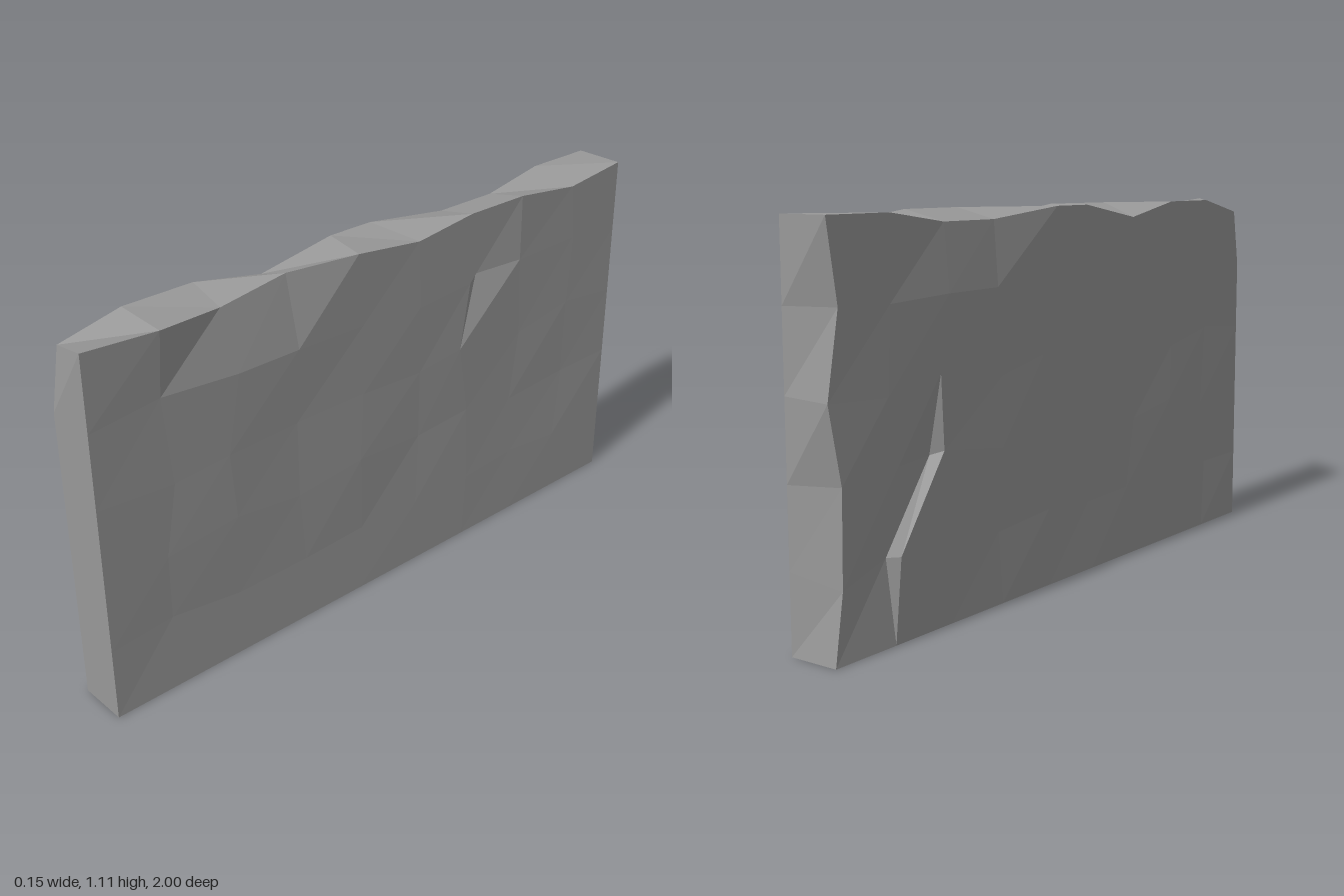
import * as THREE from 'three';

const COLS = 9, ROWS = 5, HALF = 0.077, HEIGHT = 1.11;

// Per-side irregularities; columns run from +z (0) to -z (9), rows go up.
// Keys are "column,row", values are [x, y, z] with x measured outward.
const sides = [
  {
    sign: 1, seed: 7, diagonalUp: true,
    moved: {
      '1,5': [HALF, 1.095, 0.77], '2,5': [0.043, 1.08, 0.56], '3,5': [0.04, 1.11, 0.34],
      '5,5': [HALF, 1.083, -0.12], '7,5': [HALF, 1.11, -0.55], '8,5': [HALF, 1.083, -0.78],
      '6,4': [HALF, 0.89, -0.335], '6,3': [HALF, 0.68, -0.3],
    },
    crack: { start: 3, path: [6, 6, 7], inner: { 4: [0.045, 0.895, -0.39] } },
  },
  {
    sign: -1, seed: 23, diagonalUp: false,
    moved: {
      '0,5': [HALF, 1.067, 0.97], '3,5': [HALF, 1.067, 0.33], '4,5': [HALF, 1.11, 0.08],
      '5,5': [HALF, 1.11, -0.07], '6,5': [0.058, 1.08, -0.34], '7,5': [0.058, 1.08, -0.55],
      '9,4': [HALF, 0.89, -0.965], '9,3': [0.07, 0.66, -1], '9,2': [HALF, 0.45, -0.965],
      '9,1': [HALF, 0.19, -0.97],
      '8,0': [HALF, 0, -0.78], '8,1': [HALF, 0.23, -0.755],
      '7,2': [HALF, 0.48, -0.58], '7,3': [HALF, 0.69, -0.59],
    },
    crack: { start: 0, path: [8, 8, 7, 7], inner: { 1: [0.05, 0.23, -0.785], 2: [0.05, 0.47, -0.61] } },
  },
];

function seeded(seed) {
  let s = seed * 7919;
  return () => {
    s = (s * 16807) % 2147483647;
    return s / 2147483647 - 0.5;
  };
}

// Grid of slightly uneven points for one broad face
function makeGrid({ sign, seed, moved }) {
  const rand = seeded(seed), grid = [];
  for (let i = 0; i <= COLS; i++) {
    grid.push([]);
    for (let j = 0; j <= ROWS; j++) {
      const inside = i > 0 && i < COLS && j > 0 && j < ROWS ? 1 : 0;
      const r = [rand(), rand(), rand()];
      const p = moved[`${i},${j}`] || [
        HALF - inside * (r[0] + 0.5) * 0.006,
        (HEIGHT * j) / ROWS + inside * r[1] * 0.05,
        1 - (2 * i) / COLS + inside * r[2] * 0.05,
      ];
      grid[i].push([p[0] * sign, p[1], p[2]]);
    }
  }
  return grid;
}

function makeMesh(name, triangles, material) {
  const geometry = new THREE.BufferGeometry();
  geometry.setAttribute('position', new THREE.Float32BufferAttribute(triangles.flat(2), 3));
  geometry.computeVertexNormals();
  const mesh = new THREE.Mesh(geometry, material);
  mesh.name = name;
  return mesh;
}

const quad = (a, b, c, d) => [[a, b, c], [a, c, d]];

// Broad face, split along its crack, with the step inside the crack
function buildFace(side, grid) {
  const { sign, crack, diagonalUp } = side;
  const last = crack.start + crack.path.length - 1;
  const pathAt = (j) => {
    const t = Math.min(Math.max(j, crack.start), last) - crack.start;
    const k = Math.min(Math.floor(t), crack.path.length - 2);
    return THREE.MathUtils.lerp(crack.path[k], crack.path[k + 1], t - k);
  };
  const innerPoint = (j) => {
    const p = crack.inner[j];
    return p ? [p[0] * sign, p[1], p[2]] : grid[crack.path[j - crack.start]][j];
  };
  const face = [], step = [];
  const orient = (t) => (sign > 0 ? t : [t[0], t[2], t[1]]);
  const addTriangle = (cells) => {
    const ci = (cells[0][0] + cells[1][0] + cells[2][0]) / 3;
    const cj = (cells[0][1] + cells[1][1] + cells[2][1]) / 3;
    const behind = ci > pathAt(cj);
    face.push(orient(cells.map(([i, j]) =>
      behind && crack.inner[j] && crack.path[j - crack.start] === i ? innerPoint(j) : grid[i][j])));
  };
  for (let i = 0; i < COLS; i++) {
    for (let j = 0; j < ROWS; j++) {
      const a = [i, j], b = [i + 1, j], c = [i + 1, j + 1], d = [i, j + 1];
      if (diagonalUp) { addTriangle([a, b, c]); addTriangle([a, c, d]); }
      else { addTriangle([a, b, d]); addTriangle([b, c, d]); }
    }
  }
  for (let j = crack.start; j < last; j++) {
    const o0 = grid[crack.path[j - crack.start]][j], o1 = grid[crack.path[j + 1 - crack.start]][j + 1];
    const n0 = innerPoint(j), n1 = innerPoint(j + 1);
    if (n0 !== o0) step.push(orient([o0, n0, n1]));
    if (n1 !== o1) step.push(orient([o0, n1, o1]));
  }
  return { face, step };
}

export function createModel() {
  const stone = new THREE.MeshStandardMaterial({ color: 0x999999, flatShading: true });
  stone.name = 'grey stone';
  const wall = new THREE.Group();
  wall.name = 'stoneWall';

  // Broad faces and cracks
  const [L, R] = sides.map(makeGrid);
  [L, R].forEach((grid, k) => {
    const { face, step } = buildFace(sides[k], grid);
    const label = k === 0 ? 'left' : 'right';
    wall.add(makeMesh(`${label}Face`, face, stone), makeMesh(`${label}Crack`, step, stone));
  });

  // Worn top and flat base
  const top = [], base = [];
  for (let i = 0; i < COLS; i++) {
    top.push(...quad(R[i][ROWS], L[i][ROWS], L[i + 1][ROWS], R[i + 1][ROWS]));
    base.push(...quad(R[i + 1][0], L[i + 1][0], L[i][0], R[i][0]));
  }

  // Narrow ends
  const front = [], back = [];
  for (let j = 0; j < ROWS; j++) {
    front.push(...quad(R[0][j], L[0][j], L[0][j + 1], R[0][j + 1]));
    back.push(...quad(L[COLS][j], R[COLS][j], R[COLS][j + 1], L[COLS][j + 1]));
  }

  wall.add(
    makeMesh('wornTop', top, stone), makeMesh('base', base, stone),
    makeMesh('frontEnd', front, stone), makeMesh('backEnd', back, stone),
  );
  return wall;
}
